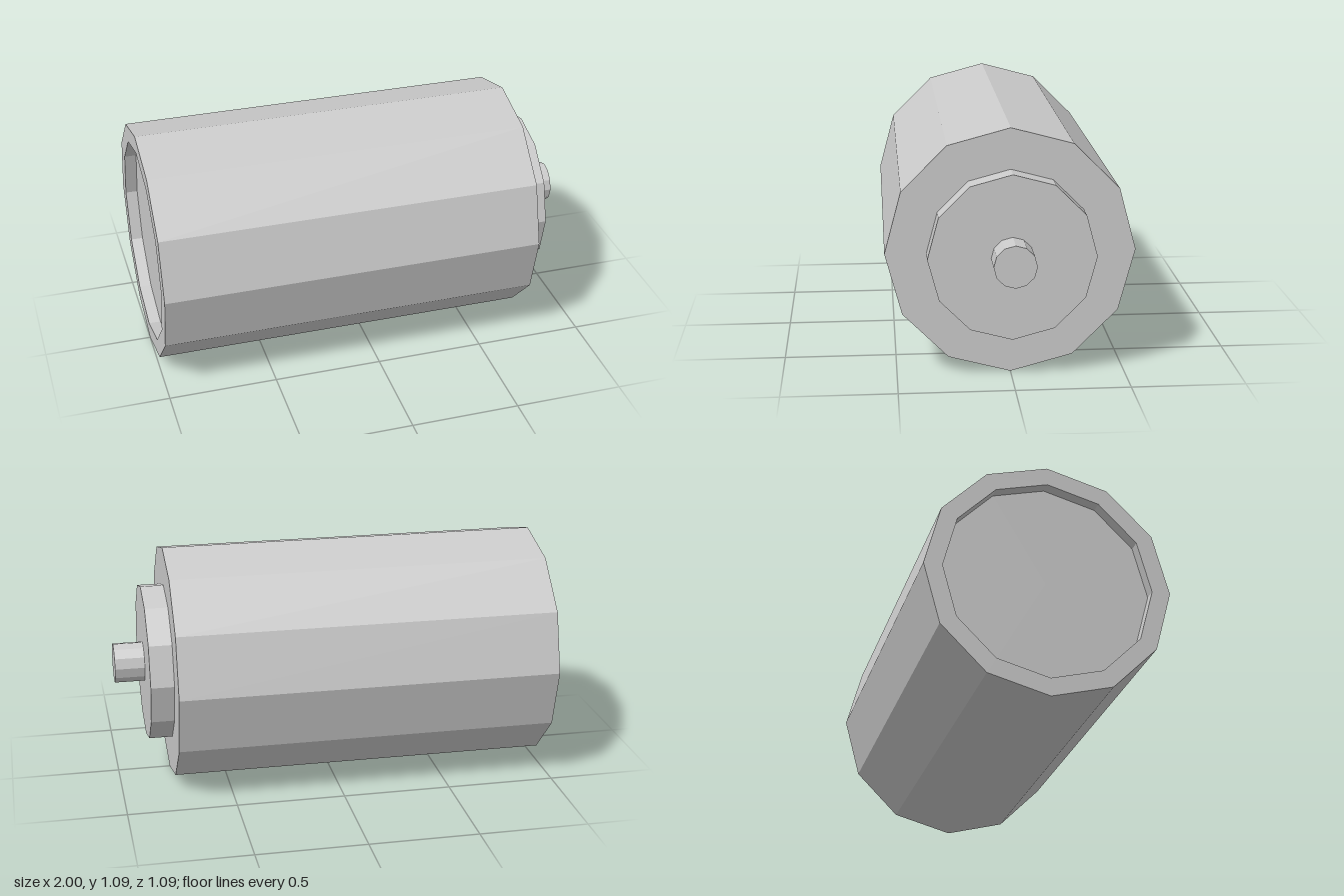
import * as THREE from 'three';

const SIDES = 12;
const AXIS_HEIGHT = 0.547;

// Twelve-sided turned part along x; profile points are [radius, x]
function turned(name, profile, material) {
  const points = profile.map(([r, x]) => new THREE.Vector2(r, x));
  const geometry = new THREE.LatheGeometry(points, SIDES).rotateZ(-Math.PI / 2);
  const mesh = new THREE.Mesh(geometry, material);
  mesh.name = name;
  mesh.position.y = AXIS_HEIGHT;
  return mesh;
}

export function createModel() {
  const group = new THREE.Group();
  group.name = 'battery';
  const grey = new THREE.MeshStandardMaterial({ color: 0xcccccc, flatShading: true });

  // Main case, with a shallow recess inside a rim at the rear end
  group.add(turned('case', [
    [0, -0.945], [0.465, -0.945], [0.465, -1], [0.547, -1], [0.547, 0.755], [0.366, 0.755],
  ], grey));

  // Raised collar on the front end
  group.add(turned('collar', [[0.366, 0.755], [0.366, 0.862], [0.093, 0.862]], grey));

  // Small contact pin
  group.add(turned('terminal', [[0.093, 0.862], [0.093, 1], [0, 1]], grey));

  return group;
}
